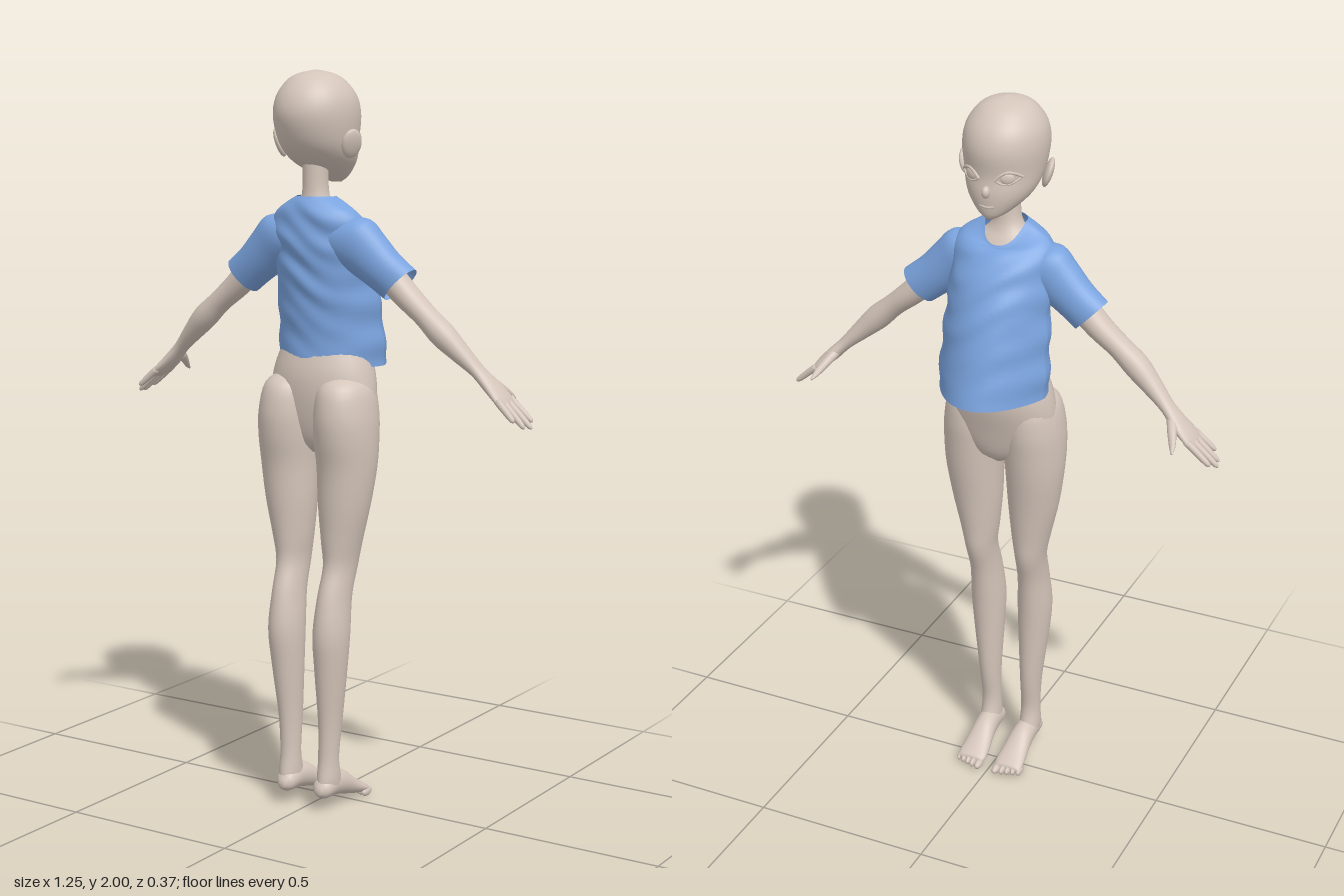
import * as THREE from 'three';

const V = (x, y, z) => new THREE.Vector3(x, y, z);
const X = V(1, 0, 0), Y = V(0, 1, 0), Z = V(0, 0, 1);

const skin = new THREE.MeshStandardMaterial({ color: 0xd4c5ba });
skin.name = 'skin';
const cloth = new THREE.MeshStandardMaterial({ color: 0x7aa3de, side: THREE.DoubleSide });
cloth.name = 'blueCloth';

// Smooth skin through elliptical sections [x, y, z, a, b]; a runs along u, b along v
function loft(sections, u, v, { caps = true, seg = 32, sub = 4, deform = null } = {}) {
  const centres = new THREE.CatmullRomCurve3(sections.map(s => V(s[0], s[1], s[2])), false, 'catmullrom');
  const radii = new THREE.CatmullRomCurve3(sections.map(s => V(s[3], s[4], 0)), false, 'catmullrom');
  const n = (sections.length - 1) * sub, pos = [], idx = [];
  for (let i = 0; i <= n; i++) {
    const c = centres.getPoint(i / n), r = radii.getPoint(i / n);
    for (let j = 0; j < seg; j++) {
      const th = j / seg * Math.PI * 2;
      const p = c.clone().addScaledVector(u, Math.cos(th) * Math.max(r.x, 0.0005))
        .addScaledVector(v, Math.sin(th) * Math.max(r.y, 0.0005));
      if (deform) deform(p, th, i / n, c, r);
      pos.push(p.x, p.y, p.z);
    }
  }
  const first = centres.getPoint(0), last = centres.getPoint(1);
  const flip = u.clone().cross(v).dot(last.clone().sub(first)) < 0;
  const tri = (a, b, c) => flip ? idx.push(a, c, b) : idx.push(a, b, c);
  for (let i = 0; i < n; i++) for (let j = 0; j < seg; j++) {
    const k = (j + 1) % seg, a = i * seg + j, b = i * seg + k;
    tri(a, b, b + seg);
    tri(a, b + seg, a + seg);
  }
  if (caps) {
    const e = pos.length / 3;
    pos.push(...first.toArray(), ...last.toArray());
    for (let j = 0; j < seg; j++) {
      const k = (j + 1) % seg;
      tri(e, k, j);
      tri(e + 1, n * seg + j, n * seg + k);
    }
  }
  const g = new THREE.BufferGeometry();
  g.setAttribute('position', new THREE.Float32BufferAttribute(pos, 3));
  g.setIndex(idx);
  g.computeVertexNormals();
  return g;
}

// Upright sections [y, halfWidth, zFront, zBack]
const upright = rows => rows.map(([y, w, f, b]) => [0, y, (f + b) / 2, w, (b - f) / 2]);

export function createModel() {
  const root = new THREE.Group();
  root.name = 'figure';
  const add = (name, geo, mat = skin, parent = root) => {
    const m = new THREE.Mesh(geo, mat);
    m.name = name;
    parent.add(m);
    return m;
  };
  const ball = (name, parent, x, y, z, sx, sy, sz) => {
    const m = add(name, new THREE.SphereGeometry(1, 20, 14), skin, parent);
    m.position.set(x, y, z);
    m.scale.set(sx, sy, sz);
    return m;
  };
  const tube = (name, pts, r) =>
    add(name, new THREE.TubeGeometry(new THREE.CatmullRomCurve3(pts), 16, r, 6));

  // Plain torso and neck
  add('torso', loft(upright([
    [0.985, 0.02, 0.0, 0.07], [1.02, 0.09, -0.035, 0.1], [1.1, 0.155, -0.058, 0.12],
    [1.2, 0.15, -0.08, 0.125], [1.3, 0.118, -0.065, 0.1], [1.4, 0.11, -0.06, 0.1],
    [1.5, 0.115, -0.065, 0.115], [1.57, 0.11, -0.025, 0.115], [1.62, 0.085, 0.005, 0.11],
    [1.65, 0.05, 0.022, 0.105], [1.69, 0.035, 0.03, 0.1], [1.78, 0.035, 0.03, 0.1],
  ]), X, Z));

  // Head, narrowing to a small chin
  add('head', loft(upright([
    [1.705, 0.012, -0.054, -0.02], [1.72, 0.04, -0.062, 0.02], [1.75, 0.074, -0.067, 0.09],
    [1.78, 0.093, -0.068, 0.135], [1.82, 0.104, -0.064, 0.166], [1.88, 0.111, -0.07, 0.185],
    [1.93, 0.104, -0.056, 0.175], [1.97, 0.078, -0.022, 0.146], [1.99, 0.047, 0.013, 0.113],
    [2.0, 0.004, 0.056, 0.066],
  ]), X, Z, { seg: 40 }));
  ball('nose', root, 0, 1.783, -0.069, 0.011, 0.016, 0.014);
  tube('mouth', [V(-0.02, 1.744, -0.062), V(0, 1.742, -0.067), V(0.02, 1.744, -0.062)], 0.003);

  // Shirt body: rounded back, front tenting to a ridge, scooped neckline, soft creases
  add('shirtBody', loft(upright([
    [1.22, 0.155, -0.187, 0.115], [1.3, 0.152, -0.166, 0.112], [1.4, 0.147, -0.142, 0.122],
    [1.48, 0.143, -0.116, 0.13], [1.54, 0.142, -0.088, 0.135], [1.59, 0.14, -0.055, 0.135],
    [1.63, 0.125, -0.028, 0.13], [1.655, 0.092, -0.016, 0.122], [1.672, 0.058, -0.008, 0.112],
  ]), X, Z, {
    caps: false, seg: 64, sub: 6,
    deform(p, th, t, c, r) {
      const s = Math.sin(th), front = Math.max(0, -s);
      if (s < 0) p.z = c.z - r.y * Math.pow(front, 1.7 - 0.6 * t);
      p.y -= 0.055 * front * THREE.MathUtils.smoothstep(t, 0.6, 1);
      const fold = Math.sin(p.y * 75 + 3 * Math.sin(p.x * 18)) * Math.sin(p.x * 22 + p.y * 14);
      p.z += 0.006 * fold * s * Math.sin(Math.PI * t);
      p.x += 0.004 * Math.cos(th) * Math.sin(p.y * 60);
    },
  }), cloth);

  for (const s of [1, -1]) {
    const side = s > 0 ? 'left' : 'right';
    const mx = rows => rows.map(([x, ...rest]) => [x * s, ...rest]);
    const across = V(0.7 * s, 0.714, 0), along = V(0.714 * s, -0.7, 0);

    // Sleeve
    add(side + 'Sleeve', loft(mx([
      [0.05, 1.57, 0.06, 0.07, 0.055], [0.1, 1.555, 0.055, 0.084, 0.062],
      [0.15, 1.525, 0.052, 0.07, 0.055], [0.2, 1.485, 0.048, 0.06, 0.05],
      [0.25, 1.447, 0.043, 0.058, 0.045],
    ]), across, Z, { caps: false }), cloth);

    // Arm and palm
    const arm = new THREE.Group();
    arm.name = side + 'Arm';
    root.add(arm);
    add('armAndPalm', loft(mx([
      [0.1, 1.56, 0.05, 0.045, 0.045], [0.19, 1.495, 0.048, 0.041, 0.04],
      [0.27, 1.42, 0.044, 0.035, 0.038], [0.33, 1.37, 0.046, 0.031, 0.035],
      [0.38, 1.325, 0.046, 0.034, 0.036], [0.43, 1.278, 0.038, 0.026, 0.03],
      [0.475, 1.235, 0.028, 0.018, 0.026], [0.51, 1.2, 0.02, 0.018, 0.036],
      [0.545, 1.167, 0.02, 0.014, 0.044], [0.565, 1.147, 0.022, 0.006, 0.038],
    ]), across, Z), skin, arm);

    // Fingers: [root z, tip x, tip y, tip z]
    [[-0.015, 0.612, 1.11, -0.014], [0.009, 0.625, 1.097, 0.014],
      [0.032, 0.618, 1.1, 0.04], [0.053, 0.6, 1.118, 0.064]].forEach(([z, tx, ty, tz], i) => {
      const mix = f => [0.545 + (tx - 0.545) * f, 1.168 + (ty - 1.168) * f, z + (tz - z) * f];
      add('finger' + (i + 1), loft(mx([
        [...mix(0), 0.01, 0.011], [...mix(0.55), 0.009, 0.009],
        [...mix(0.9), 0.007, 0.007], [...mix(1), 0.002, 0.002],
      ]), across, Z, { seg: 12 }), skin, arm);
    });
    add('thumb', loft(mx([
      [0.497, 1.21, 0.005, 0.014, 0.018], [0.51, 1.19, -0.03, 0.012, 0.014],
      [0.522, 1.17, -0.058, 0.009, 0.009], [0.528, 1.158, -0.077, 0.003, 0.003],
    ]), across, along, { seg: 14 }), skin, arm);

    // Leg from [y, xInner, xOuter, zFront, zBack]
    const leg = new THREE.Group();
    leg.name = side + 'Leg';
    root.add(leg);
    add('legShape', loft([
      [1.205, 0.06, 0.11, 0.0, 0.08], [1.17, 0.018, 0.153, -0.045, 0.137],
      [1.1, 0.006, 0.17, -0.052, 0.154], [1.03, 0.005, 0.174, -0.045, 0.15],
      [0.95, 0.01, 0.17, -0.035, 0.136], [0.85, 0.015, 0.155, -0.02, 0.13],
      [0.75, 0.025, 0.132, -0.008, 0.122], [0.68, 0.034, 0.118, 0.0, 0.12],
      [0.6, 0.032, 0.115, 0.025, 0.145], [0.5, 0.025, 0.12, 0.04, 0.16],
      [0.4, 0.027, 0.113, 0.048, 0.15], [0.25, 0.034, 0.096, 0.055, 0.133],
      [0.15, 0.035, 0.09, 0.067, 0.13], [0.09, 0.033, 0.092, 0.055, 0.138],
      [0.055, 0.035, 0.088, 0.04, 0.14],
    ].map(([y, i, o, f, b]) => [s * (i + o) / 2, y, (f + b) / 2, (o - i) / 2, (b - f) / 2]), X, Z), skin, leg);

    // Foot, pitched slightly down to the toes
    add('foot', loft(mx([
      [0.06, 0.06, 0.147, 0.01, 0.01], [0.06, 0.065, 0.128, 0.028, 0.028],
      [0.06, 0.07, 0.08, 0.031, 0.036], [0.059, 0.06, 0.035, 0.034, 0.036],
      [0.058, 0.038, -0.01, 0.039, 0.026], [0.058, 0.024, -0.045, 0.042, 0.017],
      [0.058, 0.018, -0.065, 0.036, 0.01],
    ]), X, Y), skin, leg);
    for (let i = 0; i < 5; i++) {
      const big = i === 0 ? 1.3 : 1;
      ball('toe' + (i + 1), leg, s * (0.028 + i * 0.0158 + (i ? 0.003 : 0)), 0.0125,
        -0.068 + i * 0.005, 0.0085 * big, 0.0125, 0.022);
    }

    // Ear
    const ear = ball(side + 'Ear', root, s * 0.113, 1.81, 0.066, 0.012, 0.04, 0.03);
    ear.rotation.set(0.15, s * -0.45, s * -0.25);

    // Eye with upper and lower lid following the face
    const face = x => 0.051 - 0.117 * Math.sqrt(1 - (x / 0.106) ** 2);
    const lid = (name, rise, r) => tube(side + name, [0, 0.25, 0.5, 0.75, 1].map(t => {
      const x = 0.022 + 0.06 * t;
      return V(s * x, 1.815 + 0.008 * t + rise * Math.sin(Math.PI * t), face(x) - 0.001);
    }), r);
    lid('UpperLid', 0.018, 0.004);
    lid('LowerLid', -0.014, 0.0025);
    const eye = ball(side + 'Eye', root, s * 0.051, 1.82, face(0.051) + 0.002, 0.018, 0.015, 0.006);
    eye.rotation.y = s * -0.5;
  }
  return root;
}
